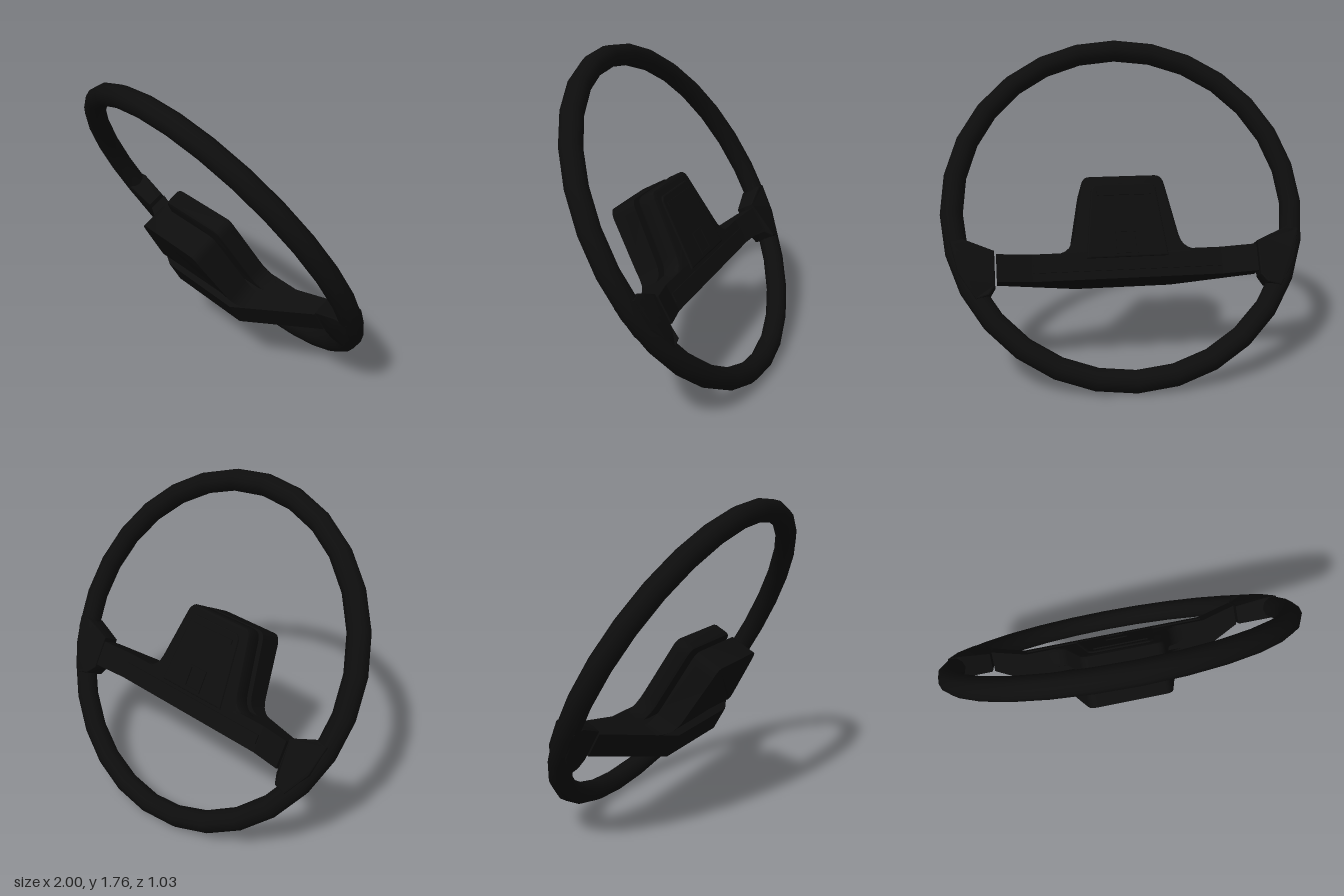
import * as THREE from 'three';
import { toCreasedNormals } from 'three/addons/utils/BufferGeometryUtils.js';

export function createModel() {
  const black = new THREE.MeshStandardMaterial({ color: 0x0d0d0d });
  black.name = 'black plastic';

  const model = new THREE.Group();
  model.name = 'steeringWheel';

  // Everything is built flat (x across, y up the wheel, z away from the driver), then tilted
  const wheel = new THREE.Group();
  wheel.name = 'tiltedWheel';
  wheel.rotation.x = 0.507;
  wheel.position.y = 0.882;
  model.add(wheel);

  const add = (name, geometry) => {
    const mesh = new THREE.Mesh(geometry, black);
    mesh.name = name;
    wheel.add(mesh);
    return mesh;
  };
  const polygon = (pts) => new THREE.Shape(pts.map(([x, y]) => new THREE.Vector2(x, y)));

  // Plate between two depths, with an optional bevel kept inside the outline
  const plate = (shape, z0, z1, bevel = 0) => {
    const g = new THREE.ExtrudeGeometry(shape, {
      depth: z1 - z0 - 2 * bevel, bevelEnabled: bevel > 0, bevelSize: bevel,
      bevelThickness: bevel, bevelOffset: -bevel, bevelSegments: 2, curveSegments: 5,
    });
    return g.translate(0, 0, z0 + bevel);
  };

  // Move vertices by a rule on their position
  const reshape = (g, rule) => {
    const p = g.attributes.position;
    const v = new THREE.Vector3();
    for (let i = 0; i < p.count; i++) {
      rule(v.fromBufferAttribute(p, i));
      p.setXYZ(i, v.x, v.y, v.z);
    }
    g.computeVertexNormals();
    return g;
  };

  // Rim
  add('rim', new THREE.TorusGeometry(0.94, 0.061, 10, 28));

  // Spoke bar: outline seen from above, extruded up the wheel
  const bar = new THREE.ExtrudeGeometry(polygon([
    [-0.71, 0.04], [-0.52, -0.01], [0.52, -0.01], [0.71, 0.04],
    [0.71, -0.07], [0.27, -0.295], [-0.27, -0.295], [-0.71, -0.07],
  ]), { depth: 0.15, bevelEnabled: false });
  bar.rotateX(-Math.PI / 2).translate(0, -0.385, 0);
  add('spokeBar', bar);

  // Tower outline with rounded top and flared foot
  const tower = () => {
    const s = new THREE.Shape();
    s.moveTo(-0.4, -0.26);
    s.lineTo(0.4, -0.26);
    s.lineTo(0.4, -0.236);
    s.quadraticCurveTo(0.31, -0.235, 0.293, -0.15);
    s.lineTo(0.235, 0.14);
    s.quadraticCurveTo(0.225, 0.195, 0.185, 0.195);
    s.lineTo(-0.185, 0.195);
    s.quadraticCurveTo(-0.225, 0.195, -0.235, 0.14);
    s.lineTo(-0.293, -0.15);
    s.quadraticCurveTo(-0.31, -0.235, -0.4, -0.236);
    s.closePath();
    return s;
  };
  add('hubFace', toCreasedNormals(plate(tower(), 0.01, 0.118, 0.02), 0.6));

  // Rear cover, kept within the tapering depth of the spoke bar
  const cover = reshape(plate(tower(), 0.145, 0.295), (v) => {
    const limit = 0.295 - Math.max(0, Math.abs(v.x) - 0.27) * 0.51;
    v.z = Math.min(v.z, limit);
  });
  add('rearCover', toCreasedNormals(cover, 0.6));

  // Raised pad on the driver's face
  const pad = polygon([
    [-0.225, -0.27], [0.225, -0.27], [0.18, 0.12], [0.155, 0.145], [-0.155, 0.145], [-0.18, 0.12],
  ]);
  add('hornPad', plate(pad, 0.0, 0.03, 0.008));

  // Ridges along the spokes and across the pad
  const ridge = (name, w, y, h, z) => {
    add(name, new THREE.BoxGeometry(w, h, 0.012)).position.set(0, y, z);
  };
  ridge('spokeRidge', 1.03, -0.315, 0.05, 0.008);
  ridge('padRidge', 0.3, 0.09, 0.025, -0.001);

  // Plain square frame on the pad
  const frame = polygon([[-0.06, -0.25], [0.06, -0.25], [0.06, -0.12], [-0.06, -0.12]]);
  frame.holes.push(polygon([[-0.048, -0.238], [-0.048, -0.132], [0.048, -0.132], [0.048, -0.238]]));
  add('padFrame', plate(frame, -0.006, 0.002));

  // Sockets joining the spokes to the rim
  for (const side of [1, -1]) {
    const outline = polygon([
      [0.72, -0.215], [0.88, -0.15], [0.95, -0.16], [0.91, -0.33],
      [0.82, -0.475], [0.75, -0.455], [0.72, -0.405],
    ].map(([x, y]) => [x * side, y]));
    const socket = reshape(plate(outline, -0.064, 0.068, 0.008), (v) => {
      if (Math.abs(v.x) < 0.74 && v.z < 0) v.z *= 0.6;
      if (Math.abs(v.x) > 0.84 && v.z > 0) v.z *= 0.85;
    });
    add(side > 0 ? 'leftSocket' : 'rightSocket', toCreasedNormals(socket, 0.5));
  }

  return model;
}
